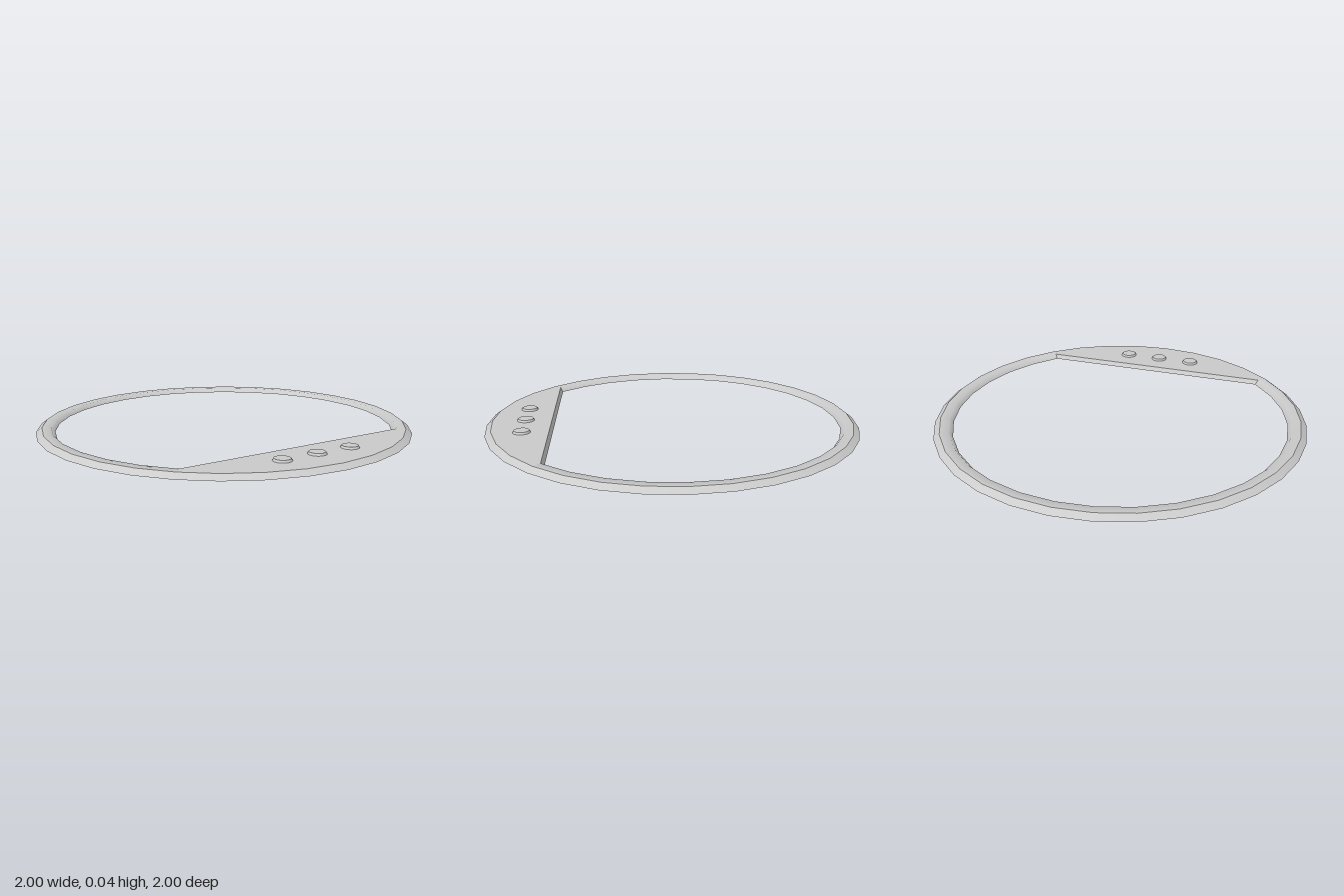
import * as THREE from 'three';

const H = 0.024;          // height of the frame
const SIDES = 32;
const R_FOOT = 1, R_TOP = 0.968, R_IN_TOP = 0.92, R_IN_FOOT = 0.9;
const BUTTON_Z = 0.79, BUTTON_R = 0.046, BUTTON_TOP_R = 0.04, BUTTON_H = 0.011, BUTTON_SIDES = 24;
const BUTTON_X = [-0.2, 0, 0.2];

const material = new THREE.MeshStandardMaterial({ color: 0xcccccc, side: THREE.DoubleSide });

function addMesh(parent, name, geometry) {
  const mesh = new THREE.Mesh(geometry, material);
  mesh.name = name;
  parent.add(mesh);
  return mesh;
}

function lathe(profile, segments, start = 0, sweep = Math.PI * 2) {
  return new THREE.LatheGeometry(profile.map(([r, y]) => new THREE.Vector2(r, y)), segments, start, sweep);
}

// Points on an arc around (cx, cy)
function arc(cx, cy, r, from, to, n) {
  return Array.from({ length: n + 1 }, (_, i) => {
    const a = from + (to - from) * i / n;
    return new THREE.Vector2(cx + r * Math.cos(a), cy + r * Math.sin(a));
  });
}

export function createModel() {
  const model = new THREE.Group();
  model.name = 'ringFrame';

  // Sloping outer rim, all the way round
  addMesh(model, 'outerBevel', lathe([[R_FOOT, 0], [R_TOP, H]], SIDES));

  // Top band and sloping inner rim, open at the front quarter
  addMesh(model, 'ringBand', lathe([[R_TOP, H], [R_IN_TOP, H], [R_IN_FOOT, 0]],
    SIDES * 3 / 4, Math.PI / 4, Math.PI * 1.5));

  // Front panel: segment of the disc with openings under the buttons
  const c = R_IN_TOP * Math.SQRT1_2, f = R_IN_FOOT * Math.SQRT1_2;
  const outline = new THREE.Shape([
    new THREE.Vector2(c, -c), new THREE.Vector2(-c, -c),
    ...arc(0, 0, R_TOP, -Math.PI * 0.75, -Math.PI * 0.25, SIDES / 4),
  ]);
  for (const x of BUTTON_X) {
    const hole = arc(x, -BUTTON_Z, BUTTON_R, 0, -Math.PI * 2, BUTTON_SIDES).slice(0, -1);
    outline.holes.push(new THREE.Path(hole));
  }
  addMesh(model, 'controlPanel', new THREE.ShapeGeometry(outline).rotateX(-Math.PI / 2).translate(0, H, 0));

  // Sloping straight edge of the panel
  const edge = new THREE.BufferGeometry();
  edge.setAttribute('position', new THREE.Float32BufferAttribute(
    [-f, 0, f, f, 0, f, c, H, c, -c, H, c], 3));
  edge.setIndex([0, 2, 1, 0, 3, 2]);
  edge.computeVertexNormals();
  addMesh(model, 'panelEdge', edge);

  // Three raised hollow buttons
  for (const x of BUTTON_X) {
    const button = new THREE.Group();
    button.name = 'button';
    button.position.set(x, H, BUTTON_Z);
    addMesh(button, 'buttonSide', lathe([[BUTTON_R, 0], [BUTTON_TOP_R, BUTTON_H]], BUTTON_SIDES));
    addMesh(button, 'buttonTop', new THREE.CircleGeometry(BUTTON_TOP_R, BUTTON_SIDES)
      .rotateX(-Math.PI / 2).translate(0, BUTTON_H, 0));
    model.add(button);
  }
  return model;
}
